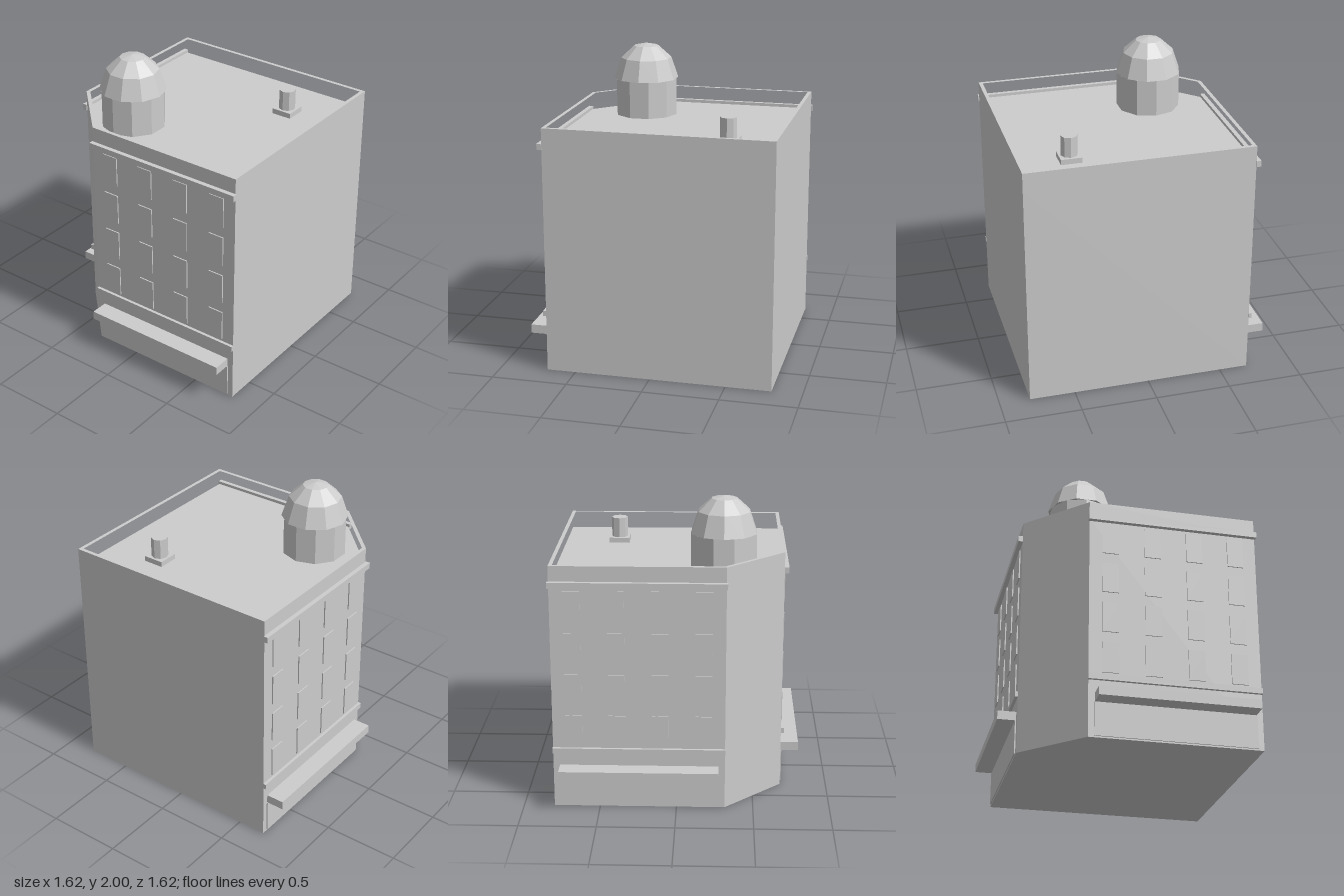
import * as THREE from 'three';

const stone = new THREE.MeshStandardMaterial({ color: 0xcccccc, flatShading: true });
stone.name = 'pale grey';

const DECK = 1.51, TOP = 1.63;

function add(parent, name, geometry, x = 0, y = 0, z = 0) {
  const mesh = new THREE.Mesh(geometry, stone);
  mesh.name = name;
  mesh.position.set(x, y, z);
  parent.add(mesh);
  return mesh;
}

// Square plan with one cut corner, inset by d; cut is the line x - z = -1.005 + e
function plan(d, e, Type = THREE.Shape) {
  const lo = -0.69 + d, hi = 0.8 - d, c = 1.005 - e;
  const corners = [[hi, -hi], [hi, -lo], [-lo - c, -lo], [lo, lo + c], [lo, -hi]];
  return new Type(corners.map(([x, z]) => new THREE.Vector2(x, -z)));
}

function extrudeUp(shape, depth) {
  return new THREE.ExtrudeGeometry(shape, { depth, bevelEnabled: false }).rotateX(-Math.PI / 2);
}

// Slab standing out from the wall plane z = 0
function slab(parent, name, width, y0, y1, out, x = 0) {
  add(parent, name, new THREE.BoxGeometry(width, y1 - y0, out), x, (y0 + y1) / 2, out / 2);
}

// Street facade, centred on its own middle
function facade(name) {
  const g = new THREE.Group();
  g.name = name;
  slab(g, 'cornice', 1.13, 1.49, 1.53, 0.03);
  slab(g, 'stringCourse', 1.12, 0.375, 0.412, 0.02);
  slab(g, 'awning', 1.03, 0.232, 0.29, 0.12);
  slab(g, 'shopFront', 1.04, 0.01, 0.23, 0.008);
  for (let row = 0; row < 4; row++) {
    for (let col = 0; col < 4; col++) {
      const y = 0.43 + row * 0.278;
      slab(g, 'window', 0.108, y, y + 0.206, 0.008, (col - 1.5) * 0.279);
    }
  }
  return g;
}

export function createModel() {
  const model = new THREE.Group();
  model.name = 'cornerBuilding';

  // Walls, flat roof and parapet
  add(model, 'body', extrudeUp(plan(0, 0), DECK));
  const rim = plan(0, 0);
  rim.holes.push(plan(0.025, 0.035, THREE.Path));
  add(model, 'parapet', extrudeUp(rim, TOP - DECK), 0, DECK, 0);

  // The two street sides
  const front = facade('frontFacade');
  front.position.set(0.2425, 0, 0.69);
  const side = facade('sideFacade');
  side.position.set(-0.69, 0, -0.2425);
  side.rotation.y = -Math.PI / 2;
  model.add(front, side);

  // Domed corner turret
  const turret = new THREE.Group();
  turret.name = 'turret';
  turret.position.set(-0.3, 0, 0.295);
  const drumHeight = 1.76 - DECK;
  add(turret, 'drum', new THREE.CylinderGeometry(0.212, 0.212, drumHeight, 10), 0, DECK + drumHeight / 2, 0);
  const profile = [[0, 1.76], [0.22, 1.76], [0.173, 1.9], [0.084, 1.982], [0, 2]];
  const dome = new THREE.LatheGeometry(profile.map(([r, y]) => new THREE.Vector2(r, y)), 10);
  add(turret, 'dome', dome.rotateY(Math.PI / 10));
  model.add(turret);

  // Roof vent
  const vent = new THREE.Group();
  vent.name = 'roofVent';
  vent.position.set(0.425, 0, -0.43);
  add(vent, 'ventBase', new THREE.BoxGeometry(0.14, 0.035, 0.14), 0, DECK + 0.0175, 0);
  add(vent, 'ventPipe', new THREE.CylinderGeometry(0.055, 0.055, 0.135, 8), 0, 1.6125, 0);
  model.add(vent);

  return model;
}
